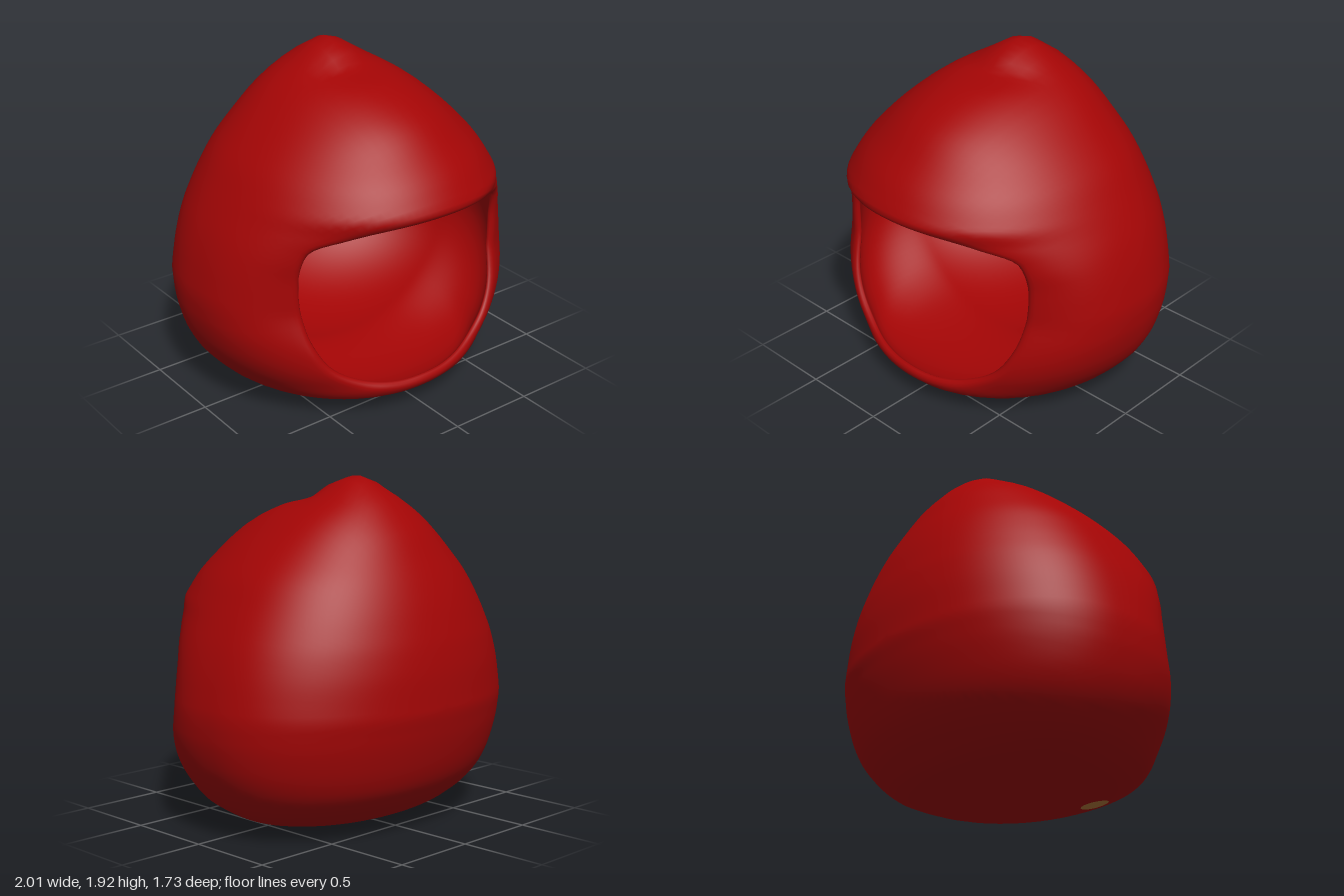
import * as THREE from 'three';

// Shell profile: height, half width, front z, back z
const ROWS = [
  [0, 0.1, 0.15, -0.05], [0.01, 0.3, 0.3, -0.15], [0.02, 0.48, 0.4, -0.24], [0.06, 0.64, 0.57, -0.48],
  [0.14, 0.78, 0.72, -0.61], [0.2, 0.84, 0.74, -0.68], [0.3, 0.915, 0.735, -0.755], [0.43, 0.97, 0.7, -0.805],
  [0.6, 1, 0.635, -0.845], [0.72, 1, 0.61, -0.86], [0.88, 0.967, 0.63, -0.853], [1.03, 0.92, 0.72, -0.833],
  [1.16, 0.86, 0.82, -0.8], [1.26, 0.805, 0.865, -0.768], [1.38, 0.73, 0.79, -0.718], [1.5, 0.625, 0.68, -0.655],
  [1.62, 0.5, 0.555, -0.585], [1.7, 0.405, 0.425, -0.522], [1.76, 0.315, 0.275, -0.468], [1.81, 0.23, 0.05, -0.415],
  [1.86, 0.15, 0, -0.345], [1.91, 0.068, -0.11, -0.265], [1.93, 0.003, -0.197, -0.203],
];
const TOP = 1.93;
const CENTRE = new THREE.Vector3(0, 0.75, 0);

// Smooth interpolation of one profile column
function profile(y, col) {
  let i = 0;
  while (i < ROWS.length - 2 && y > ROWS[i + 1][0]) i++;
  const slope = (k) => (ROWS[k + 1][col] - ROWS[k][col]) / (ROWS[k + 1][0] - ROWS[k][0]);
  const tangent = (k) => {
    if (k === 0) return slope(0);
    if (k === ROWS.length - 1) return slope(k - 1);
    const a = slope(k - 1), b = slope(k);
    return a * b <= 0 ? b : (2 * a * b) / (a + b);
  };
  const h = ROWS[i + 1][0] - ROWS[i][0];
  const t = (y - ROWS[i][0]) / h, t2 = t * t, t3 = t2 * t;
  return (2 * t3 - 3 * t2 + 1) * ROWS[i][col] + (t3 - 2 * t2 + t) * h * tangent(i)
    + (3 * t2 - 2 * t3) * ROWS[i + 1][col] + (t3 - t2) * h * tangent(i + 1);
}

// z of the widest point of each horizontal section
function middle(y) {
  if (y < 0.1) return 0.05 - 1.5 * y;
  return -0.1 - 0.1 * THREE.MathUtils.smoothstep(y, 1.5, TOP);
}

// Front sections are squarer beside the opening than above and below it
function frontPower(y) {
  const { smoothstep } = THREE.MathUtils;
  return 2.05 + 0.5 * smoothstep(y, 0.15, 0.6) - 0.5 * smoothstep(y, 0.85, 1.25);
}

function inside(p) {
  if (p.y <= 0 || p.y >= TOP) return false;
  const cz = middle(p.y), front = p.z > cz;
  const depth = Math.abs(profile(p.y, front ? 2 : 3) - cz);
  const n = front ? frontPower(p.y) : 2.1;
  return (Math.abs(p.x) / profile(p.y, 1)) ** n + (Math.abs(p.z - cz) / depth) ** n < 1;
}

// Distance from the centre to the shell along a direction
function shellRadius(dir) {
  let lo = 0, hi = 2;
  const p = new THREE.Vector3();
  for (let k = 0; k < 26; k++) {
    const r = (lo + hi) / 2;
    if (inside(p.copy(CENTRE).addScaledVector(dir, r))) lo = r; else hi = r;
  }
  return lo;
}

// Distance from the centre to the rounded cavity wall along a direction
const cavityRadius = (d) => 1 / Math.hypot(d.x / 0.86, d.y / 0.58, d.z / 0.77);

// Directions to the edge of the face opening, counterclockwise from the bottom
function openingDirections(count) {
  const half = [[0.2, 0.185], [0.4, 0.24], [0.56, 0.345], [0.655, 0.51], [0.69, 0.7],
    [0.698, 0.88], [0.685, 1.01], [0.65, 1.08], [0.5, 1.15], [0.3, 1.205]];
  const pts = [[0, 0.175], ...half, [0, 1.23], ...half.map(([x, y]) => [-x, y]).reverse()];
  const curve = new THREE.CatmullRomCurve3(pts.map(([x, y]) => new THREE.Vector3(x, y, 0)), true);
  return Array.from({ length: count }, (_, i) => {
    const { x, y } = curve.getPointAt(i / count);
    const cz = middle(y), n = frontPower(y);
    const z = cz + (profile(y, 2) - cz) * (1 - (Math.abs(x) / profile(y, 1)) ** n) ** (1 / n);
    return new THREE.Vector3(x, y, z).sub(CENTRE).normalize();
  });
}

// Loops run from the back pole over the outside, round the lip and back along the cavity
function shellGeometry() {
  const N = 112, M = 60, T = 0.945;
  const loops = []; // fraction from rim to back pole, radius scale, blend to cavity
  for (let j = 0; j <= M; j++) loops.push([1 - (j / M) * 0.985, 1, 0]);
  loops.push([0.006, 0.995, 0], [0.001, 0.985, 0], [0, 0.97, 0], [0.002, 0.955, 0], [0.008, T + 0.002, 0]);
  for (let j = 0; j <= M; j++) {
    const s = 0.02 + (j / M) * 0.98;
    loops.push([s, T, THREE.MathUtils.smoothstep(s, 0.02, 0.35)]);
  }

  const rim = openingDirections(N);
  const positions = [], index = [];
  const dir = new THREE.Vector3();
  loops.forEach(([s, scale, blend], j) => {
    rim.forEach((d, i) => {
      const azimuth = Math.atan2(d.y, d.x);
      const polar = THREE.MathUtils.lerp(Math.acos(d.z), Math.PI, s);
      dir.set(Math.sin(polar) * Math.cos(azimuth), Math.sin(polar) * Math.sin(azimuth), Math.cos(polar));
      const wall = shellRadius(dir) * scale;
      const r = THREE.MathUtils.lerp(wall, Math.min(wall, cavityRadius(dir)), blend);
      positions.push(...dir.multiplyScalar(r).add(CENTRE).toArray());
      if (j === loops.length - 1) return;
      const a = j * N + i, b = j * N + (i + 1) % N;
      if (j > 0) index.push(a, b, b + N);
      if (j < loops.length - 2) index.push(a, b + N, a + N);
    });
  });
  const geo = new THREE.BufferGeometry();
  geo.setAttribute('position', new THREE.Float32BufferAttribute(positions, 3));
  geo.setIndex(index);
  geo.computeVertexNormals();
  return geo;
}

// Small round patch laid on the underside
function patchGeometry() {
  const geo = new THREE.CircleGeometry(0.088, 24).rotateX(Math.PI / 2).translate(-0.15, 0.03, 0.47);
  const pos = geo.attributes.position;
  const p = new THREE.Vector3();
  for (let i = 0; i < pos.count; i++) {
    p.fromBufferAttribute(pos, i).sub(CENTRE).normalize();
    p.multiplyScalar(shellRadius(p) * 1.007).add(CENTRE);
    pos.setXYZ(i, p.x, Math.max(p.y, 0), p.z);
  }
  geo.computeVertexNormals();
  return geo;
}

export function createModel() {
  const red = new THREE.MeshStandardMaterial({ color: 0xa40505, side: THREE.DoubleSide });
  red.name = 'red';
  const brown = new THREE.MeshStandardMaterial({ color: 0xb87c3c });
  brown.name = 'brown';

  const group = new THREE.Group();
  group.name = 'hood';
  const shell = new THREE.Mesh(shellGeometry(), red);
  shell.name = 'hoodShell';
  const patch = new THREE.Mesh(patchGeometry(), brown);
  patch.name = 'undersidePatch';
  group.add(shell, patch);
  return group;
}
